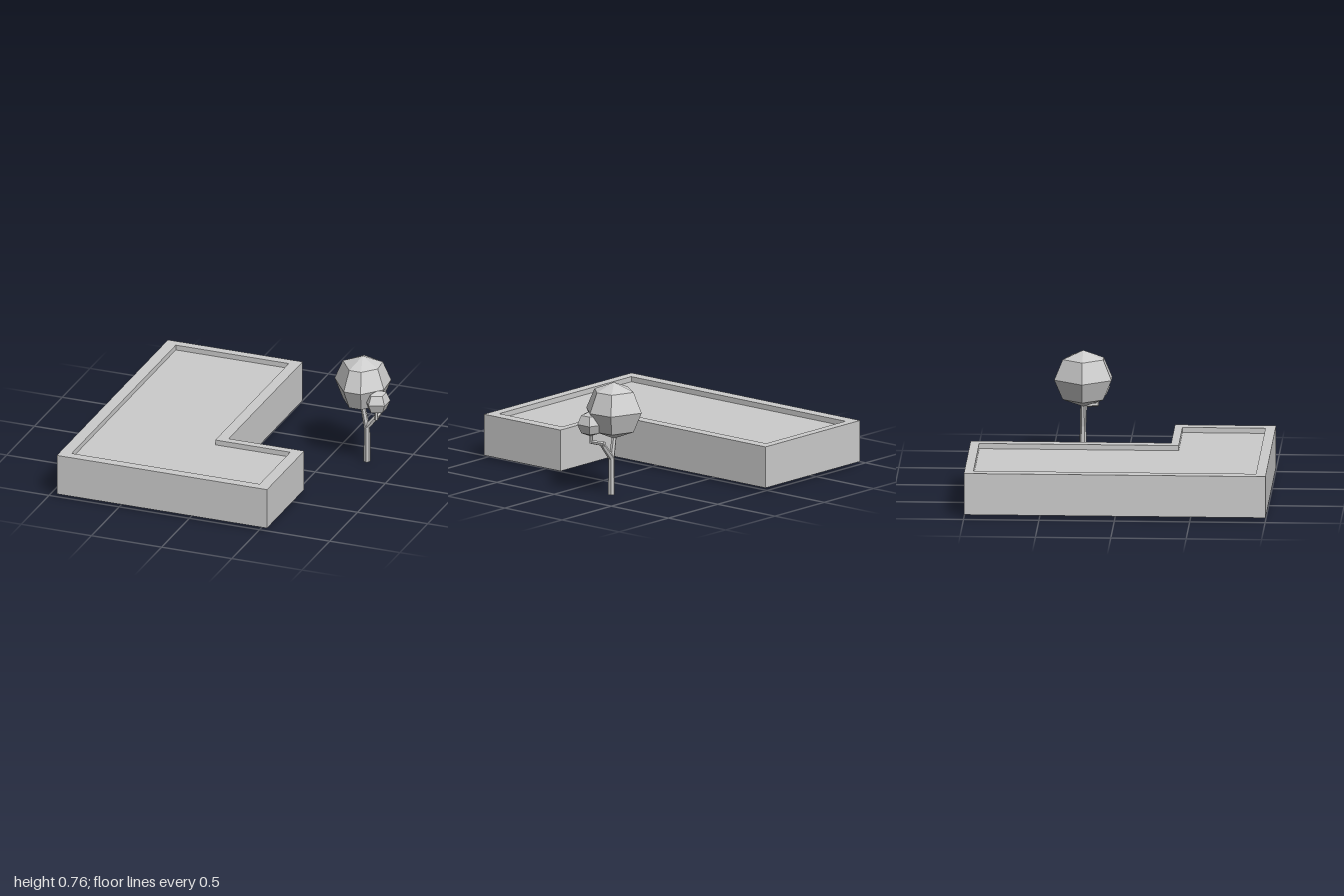
import * as THREE from 'three';

const solid = new THREE.MeshStandardMaterial({ color: 0xcccccc, flatShading: true });
const open = new THREE.MeshStandardMaterial({ color: 0xcccccc, flatShading: true, side: THREE.DoubleSide });

function add(parent, name, geometry, material = solid) {
  const mesh = new THREE.Mesh(geometry, material);
  mesh.name = name;
  parent.add(mesh);
  return mesh;
}

// L-shaped outline as [x, z] corners
const lShape = (x0, x1, x2, z0, z1, z2) =>
  [[x0, z2], [x2, z2], [x2, z1], [x1, z1], [x1, z0], [x0, z0]];

// Horizontal plate from an outline, facing up
function plate(outline, y, hole) {
  const toPoints = (o) => o.map(([x, z]) => new THREE.Vector2(x, -z));
  const shape = new THREE.Shape(toPoints(outline));
  if (hole) shape.holes.push(new THREE.Path(toPoints(hole)));
  return new THREE.ShapeGeometry(shape).rotateX(-Math.PI / 2).translate(0, y, 0);
}

// Upright band of walls along an outline; facing outward, or inward if flipped
function band(outline, y0, y1, inward = false) {
  const pos = [];
  outline.forEach((p, i) => {
    const q = outline[(i + 1) % outline.length];
    const [a, b] = inward ? [q, p] : [p, q];
    pos.push(a[0], y0, a[1], b[0], y0, b[1], b[0], y1, b[1]);
    pos.push(a[0], y0, a[1], b[0], y1, b[1], a[0], y1, a[1]);
  });
  const g = new THREE.BufferGeometry();
  g.setAttribute('position', new THREE.Float32BufferAttribute(pos, 3));
  g.computeVertexNormals();
  return g;
}

// Faceted crown: three rings of the given [x, z] outline between two poles
function crown(outline, halfHeight) {
  const n = outline.length, s = Math.SQRT1_2;
  const pos = [0, -halfHeight, 0], index = [];
  for (const [k, h] of [[s, -s], [1, 0], [s, s]])
    for (const [x, z] of outline) pos.push(x * k, h * halfHeight, z * k);
  pos.push(0, halfHeight, 0);
  const top = 3 * n + 1;
  for (let i = 0; i < n; i++) {
    const j = (i + 1) % n;
    index.push(0, 1 + j, 1 + i, top, 1 + 2 * n + i, 1 + 2 * n + j);
    for (let r = 0; r < 2; r++) {
      const a = 1 + r * n + i, b = 1 + r * n + j;
      index.push(a, b, b + n, a, b + n, a + n);
    }
  }
  const g = new THREE.BufferGeometry();
  g.setAttribute('position', new THREE.Float32BufferAttribute(pos, 3));
  g.setIndex(index);
  g.computeVertexNormals();
  return g;
}

// Tapered limb between two points
function limb(parent, name, from, to, r0, r1) {
  const a = new THREE.Vector3(...from), b = new THREE.Vector3(...to);
  const dir = b.clone().sub(a);
  const mesh = add(parent, name, new THREE.CylinderGeometry(r1, r0, dir.length(), 6));
  mesh.position.copy(a).add(b).multiplyScalar(0.5);
  mesh.quaternion.setFromUnitVectors(new THREE.Vector3(0, 1, 0), dir.normalize());
}

export function createModel() {
  const model = new THREE.Group();
  model.name = 'buildingWithTree';

  // Building shell, open underneath, with a sunken roof behind a parapet
  const building = new THREE.Group();
  building.name = 'building';
  model.add(building);
  const outer = lShape(-0.945, 0.015, 0.553, -1, 0.33, 1);
  const inner = lShape(-0.865, -0.06, 0.474, -0.94, 0.383, 0.933);
  add(building, 'outerWalls', band(outer, 0.02, 0.3), open);
  add(building, 'parapetTop', plate(outer, 0.3, inner), open);
  add(building, 'parapetInside', band(inner, 0.265, 0.3, true), open);
  add(building, 'roof', plate(inner, 0.265), open);

  // Tree trunk and forked branches
  const tree = new THREE.Group();
  tree.name = 'tree';
  model.add(tree);
  limb(tree, 'trunk', [0.755, 0, -0.29], [0.755, 0.26, -0.29], 0.023, 0.021);
  limb(tree, 'mainBranch', [0.755, 0.24, -0.29], [0.725, 0.4, -0.29], 0.021, 0.016);
  limb(tree, 'sideBranch', [0.755, 0.25, -0.29], [0.845, 0.362, -0.285], 0.021, 0.017);
  limb(tree, 'sideBranchBend', [0.84, 0.362, -0.3], [0.855, 0.362, -0.195], 0.017, 0.013);
  limb(tree, 'sideBranchTip', [0.855, 0.355, -0.2], [0.857, 0.43, -0.2], 0.013, 0.012);

  // Crowns
  const mainOutline = [[-0.2, 0], [-0.06, 0.19], [0.06, 0.19], [0.175, 0.06], [0.16, -0.11], [-0.06, -0.19]];
  add(tree, 'mainCrown', crown(mainOutline, 0.192)).position.set(0.725, 0.568, -0.287);
  const smallOutline = Array.from({ length: 5 }, (_, i) => {
    const t = Math.PI - (i * 2 * Math.PI) / 5;
    return [0.09 * Math.cos(t), 0.09 * Math.sin(t)];
  });
  add(tree, 'smallCrown', crown(smallOutline, 0.085)).position.set(0.863, 0.488, -0.2);

  return model;
}
